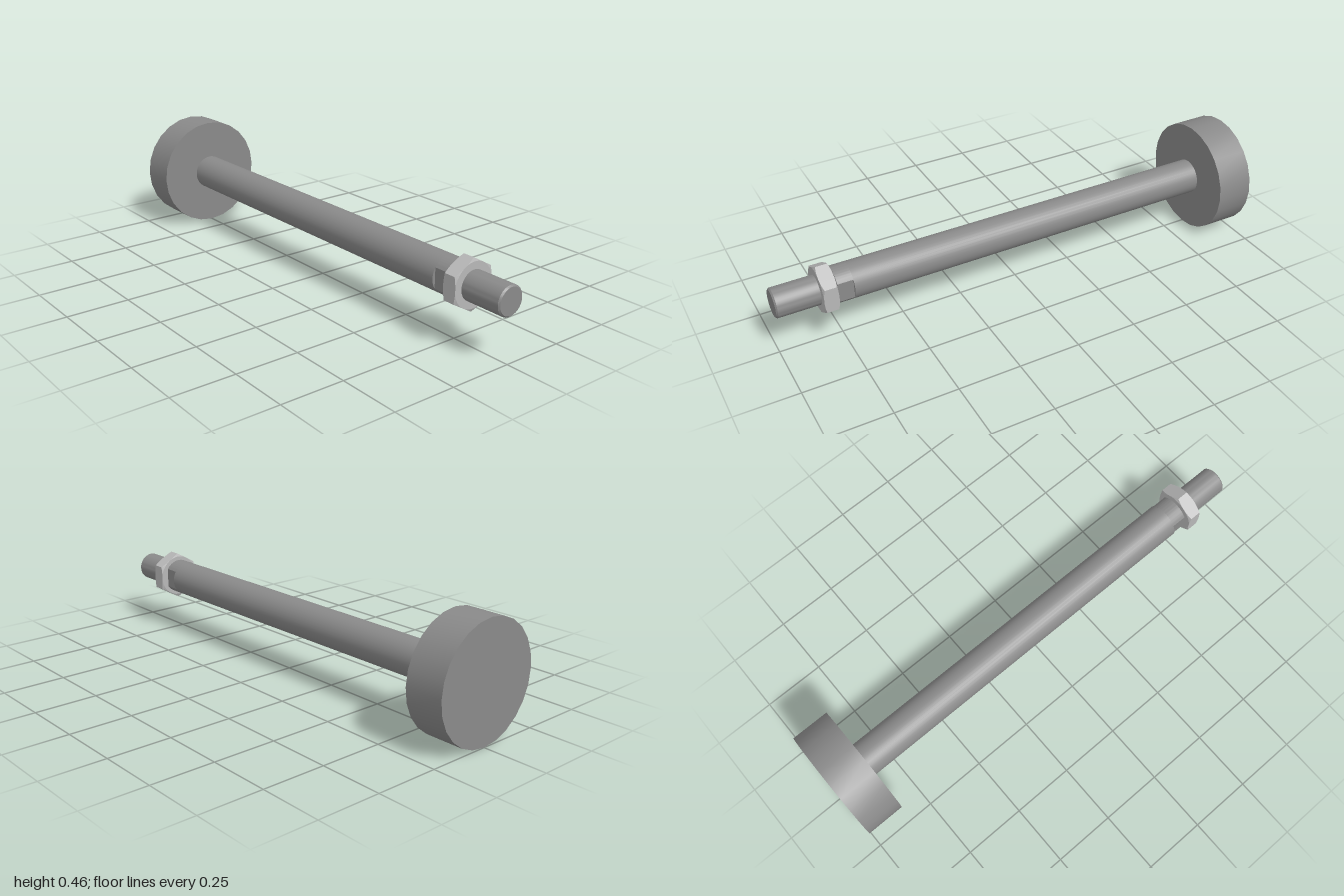
import * as THREE from 'three';
import { toCreasedNormals } from 'three/addons/utils/BufferGeometryUtils.js';

const darkSteel = new THREE.MeshStandardMaterial({ color: 0x8a8a8a });
const lightSteel = new THREE.MeshStandardMaterial({ color: 0xb8b8b8 });
const AXIS_Y = 0.23;

// Turned part along z from [radius, z] pairs, back to front
function turned(profile, segments) {
  const points = profile.map(([r, z]) => new THREE.Vector2(r, z));
  return new THREE.LatheGeometry(points, segments).rotateX(Math.PI / 2);
}

// Hexagonal nut: the rim of a turned blank is pushed out to a hexagon, with conical chamfers
function nutGeometry(z0, z1, apothem) {
  const rim = apothem + 0.005;
  const g = turned([[0, z0], [apothem, z0], [rim, z0], [rim, z1], [apothem, z1], [0, z1]], 72);
  const p = g.attributes.position;
  const mid = (z0 + z1) / 2;
  for (let i = 0; i < p.count; i++) {
    const x = p.getX(i), y = p.getY(i), r = Math.hypot(x, y);
    if (r < apothem + 0.002) continue;
    const a = Math.atan2(y, x);
    const fromFlat = a - Math.round(a / (Math.PI / 3)) * (Math.PI / 3);
    const hex = apothem / Math.cos(fromFlat);
    const depth = (hex - apothem) * 0.45;
    const z = p.getZ(i);
    p.setXYZ(i, x * hex / r, y * hex / r, z - Math.sign(z - mid) * depth);
  }
  return g;
}

// Rod end with two parallel wrench flats at x = +-flat
function flatsGeometry(radius, flat, z0, z1) {
  const a = Math.acos(flat / radius);
  const shape = new THREE.Shape();
  shape.absarc(0, 0, radius, a, Math.PI - a, false);
  shape.absarc(0, 0, radius, Math.PI + a, 2 * Math.PI - a, false);
  shape.closePath();
  return new THREE.ExtrudeGeometry(shape, { depth: z1 - z0, bevelEnabled: false, curveSegments: 14 })
    .translate(0, 0, z0);
}

export function createModel() {
  const group = new THREE.Group();
  const add = (name, geometry, material) => {
    const mesh = new THREE.Mesh(toCreasedNormals(geometry, 0.4), material);
    mesh.name = name;
    mesh.position.y = AXIS_Y;
    group.add(mesh);
  };

  // Round foot at the back
  add('footDisc', turned([[0, -1], [0.23, -1], [0.23, -0.847], [0, -0.847]], 24), darkSteel);
  // Long rod and its flattened end
  add('rod', turned([[0, -0.847], [0.072, -0.847], [0.072, 0.705], [0, 0.705]], 36), darkSteel);
  add('wrenchFlats', flatsGeometry(0.072, 0.06, 0.705, 0.767), darkSteel);
  // Stud with a chamfered tip
  add('stud', turned([[0, 0.767], [0.058, 0.767], [0.058, 0.994], [0.052, 1], [0, 1]], 36), darkSteel);
  // Locking nut
  add('hexNut', nutGeometry(0.772, 0.83, 0.087), lightSteel);

  return group;
}
